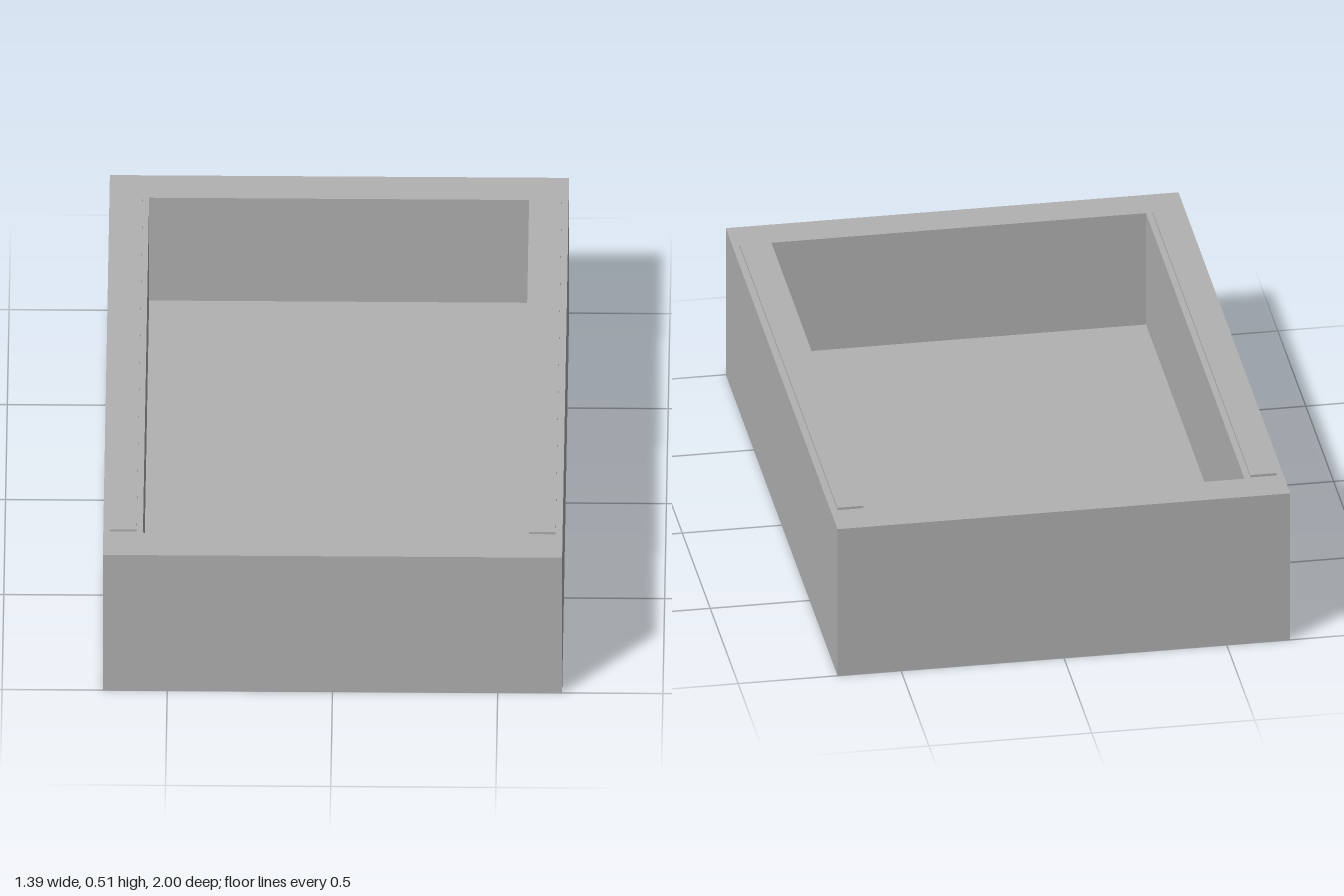
import * as THREE from 'three';

const HALF_W = 0.695, HALF_L = 1, HEIGHT = 0.5;
const INNER_W = 0.575, INNER_L = 0.882, FLOOR = 0.12;

export function createModel() {
  const model = new THREE.Group();
  model.name = 'openTray';
  const grey = new THREE.MeshStandardMaterial({ color: 0xb2b2b2 });
  grey.name = 'plain grey';

  const add = (name, geometry, x = 0, y = 0, z = 0) => {
    const mesh = new THREE.Mesh(geometry, grey);
    mesh.name = name;
    mesh.position.set(x, y, z);
    model.add(mesh);
    return mesh;
  };

  // Corners of a centred rectangle, anticlockwise
  const corners = (w, l) => [[-w, -l], [w, -l], [w, l], [-w, l]].map(([x, y]) => new THREE.Vector2(x, y));

  // Walls: a rectangular frame, extruded upwards for the full height
  const frame = new THREE.Shape(corners(HALF_W, HALF_L));
  frame.holes.push(new THREE.Path(corners(INNER_W, INNER_L).reverse()));
  const walls = new THREE.ExtrudeGeometry(frame, { depth: HEIGHT, bevelEnabled: false });
  walls.rotateX(-Math.PI / 2);
  add('walls', walls);

  // Thick floor filling the bottom of the opening
  add('floor', new THREE.BoxGeometry(INNER_W * 2, FLOOR, INNER_L * 2), 0, FLOOR / 2, 0);

  // Thin raised strips along the two long rims
  for (const [name, side] of [['leftRimStrip', 1], ['rightRimStrip', -1]]) {
    add(name, new THREE.BoxGeometry(0.08, 0.008, 1.754), side * 0.634, HEIGHT + 0.004, 0);
  }

  return model;
}
